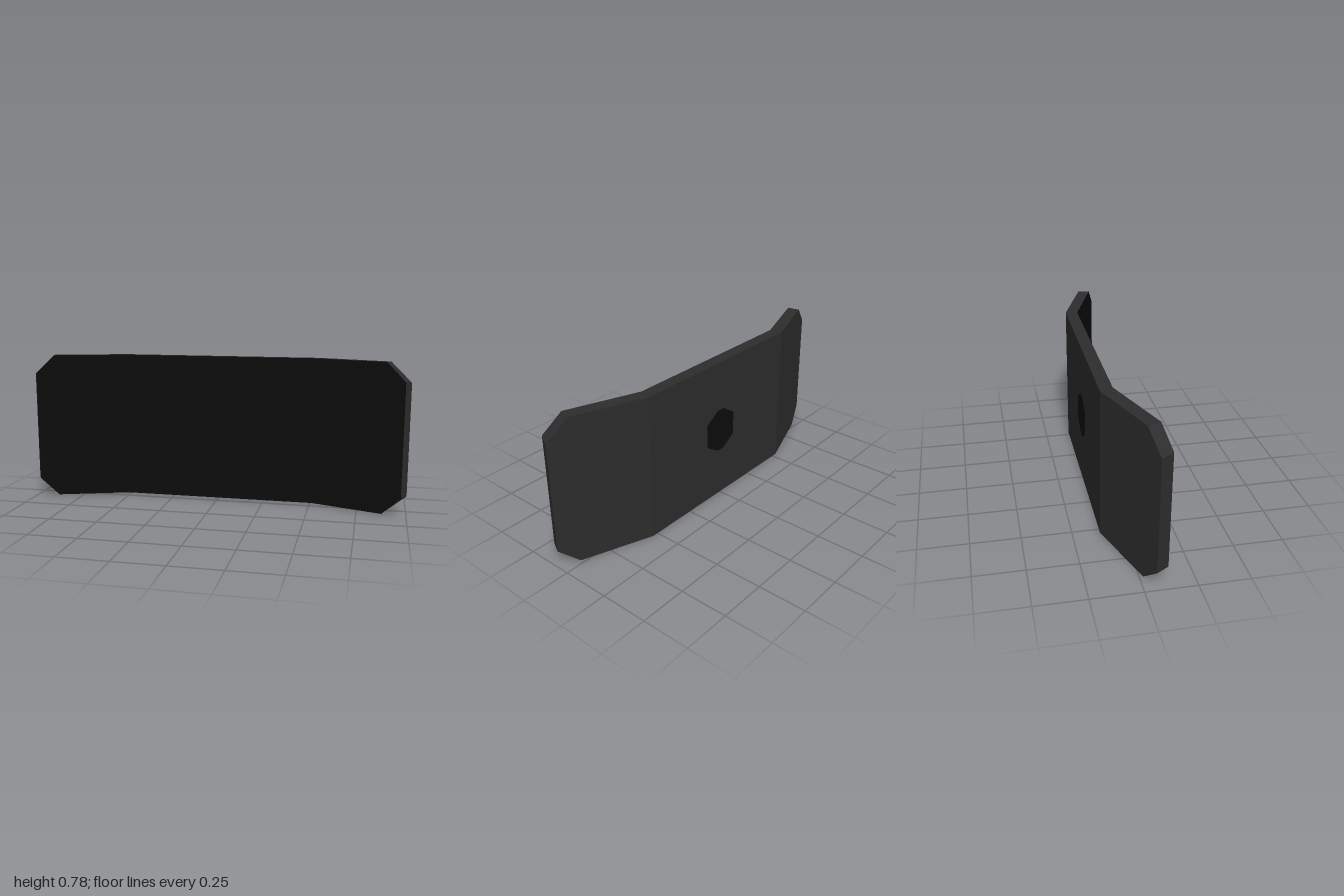
import * as THREE from 'three';

// Builds a flat-shaded mesh from a list of four-cornered faces
function quadMesh(name, quads, material) {
  const positions = [];
  for (const [a, b, c, d] of quads) {
    for (const p of [a, b, c, a, c, d]) positions.push(...p);
  }
  const geometry = new THREE.BufferGeometry();
  geometry.setAttribute('position', new THREE.Float32BufferAttribute(positions, 3));
  geometry.computeVertexNormals();
  const mesh = new THREE.Mesh(geometry, material);
  mesh.name = name;
  return mesh;
}

export function createModel() {
  const casing = new THREE.MeshStandardMaterial({ color: 0x2d2d2d });
  casing.name = 'dark grey casing';
  const black = new THREE.MeshStandardMaterial({ color: 0x0c0c0c });
  black.name = 'screen black';

  const group = new THREE.Group();
  group.name = 'curvedMonitor';

  // Half profile at the bend, the corner cut and the end: [x, z, bottom, top]
  const front = [[0.51, -0.05, 0.002, 0.779], [0.877, 0.08, 0.004, 0.78], [0.97, 0.113, 0.102, 0.685]];
  const back = [[0.53, -0.113, 0, 0.776], [0.897, 0.018, 0.002, 0.777], [1, 0.055, 0.097, 0.677]];

  // Mirrored columns running from -x to +x
  const columns = [[2, -1], [1, -1], [0, -1], [0, 1], [1, 1], [2, 1]].map(([k, side]) => {
    const corner = ([x, z, bottom, top], upper) => [side * x, upper ? top : bottom, z];
    return {
      fb: corner(front[k], false), ft: corner(front[k], true),
      bb: corner(back[k], false), bt: corner(back[k], true),
    };
  });

  const screen = [], shell = [], rim = [];
  for (let i = 0; i < columns.length - 1; i++) {
    const l = columns[i], r = columns[i + 1];
    screen.push([l.fb, r.fb, r.ft, l.ft]);
    shell.push([r.bb, l.bb, l.bt, r.bt]);
    rim.push([l.ft, r.ft, r.bt, l.bt], [l.bb, r.bb, r.fb, l.fb]);
  }
  const first = columns[0], last = columns[columns.length - 1];
  rim.push([first.bb, first.fb, first.ft, first.bt], [last.fb, last.bb, last.bt, last.ft]);

  group.add(
    quadMesh('screen', screen, black),
    quadMesh('backShell', shell, casing),
    quadMesh('rim', rim, casing),
  );

  // Black eight-sided mount plate in the middle of the back
  const outline = [[0.107, -0.065], [0.107, 0.065], [0.025, 0.118], [-0.025, 0.118],
    [-0.107, 0.065], [-0.107, -0.065], [-0.025, -0.118], [0.025, -0.118]];
  const shape = new THREE.Shape(outline.map(([x, y]) => new THREE.Vector2(x, y)));
  const mount = new THREE.Mesh(new THREE.ExtrudeGeometry(shape, { depth: 0.003, bevelEnabled: false }), black);
  mount.name = 'mountPlate';
  mount.position.set(0, 0.388, -0.115);
  group.add(mount);

  return group;
}
